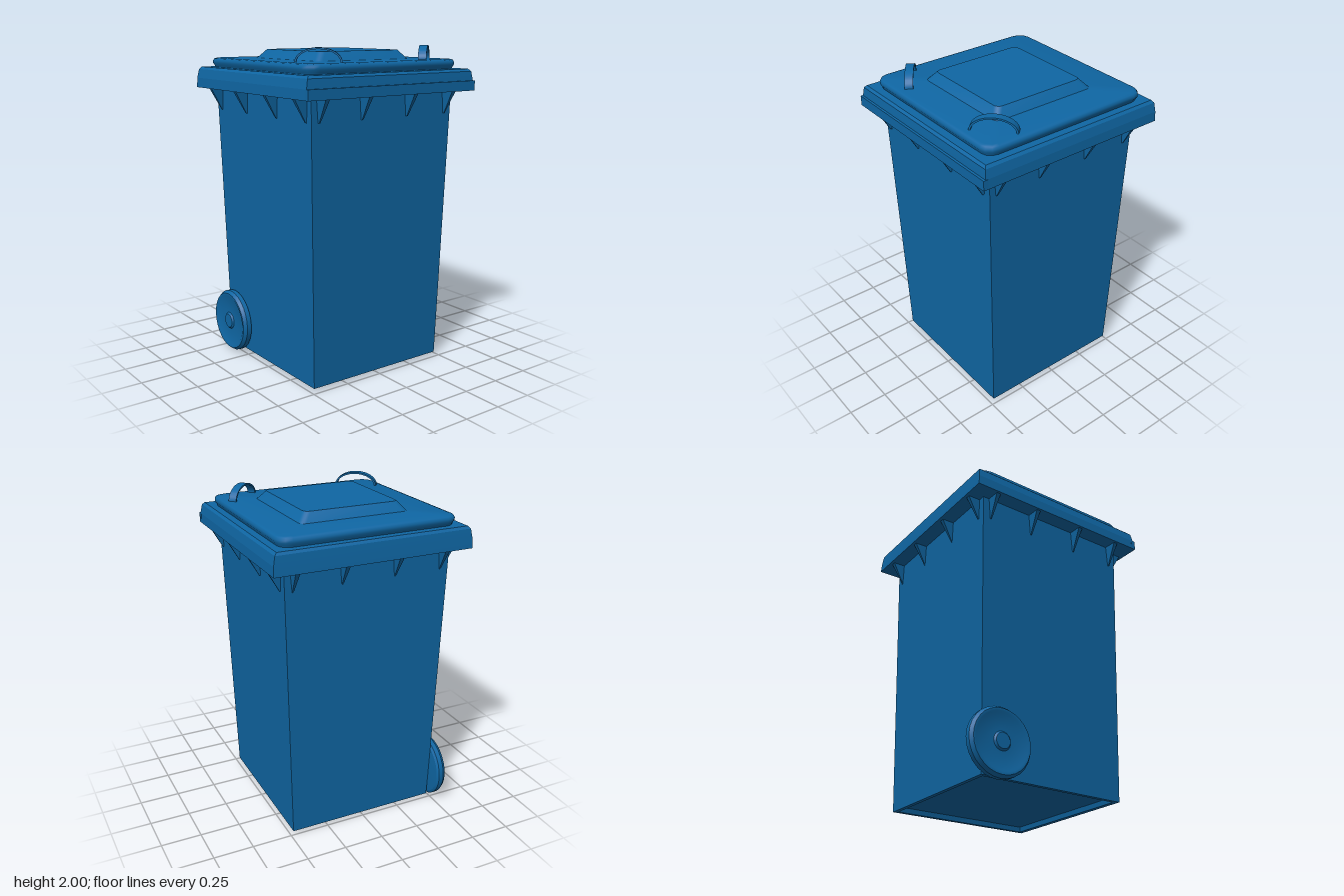
import * as THREE from 'three';
import { toCreasedNormals } from 'three/addons/utils/BufferGeometryUtils.js';
import { ConvexGeometry } from 'three/addons/geometries/ConvexGeometry.js';

// Skin through rounded rectangles; each ring is [y, half width, back z, front z, corner radius]
function loft(rings, cornerSteps, crease) {
  const loops = rings.map(([y, hx, z0, z1, r = 0]) => {
    const pts = [];
    for (let c = 0; c < 4; c++) {
      const sx = c === 0 || c === 3 ? 1 : -1, sz = c < 2 ? 1 : -1;
      for (let s = 0; s <= cornerSteps; s++) {
        const a = (c + (cornerSteps ? s / cornerSteps : 0.5)) * Math.PI / 2;
        pts.push([sx * (hx - r) + r * Math.cos(a), y, (sz > 0 ? z1 - r : z0 + r) + r * Math.sin(a)]);
      }
    }
    return pts;
  });
  const pos = [], n = loops[0].length;
  for (let k = 0; k + 1 < loops.length; k++) {
    for (let i = 0; i < n; i++) {
      const j = (i + 1) % n;
      const a = loops[k][i], b = loops[k][j], c = loops[k + 1][i], d = loops[k + 1][j];
      pos.push(...a, ...c, ...b, ...b, ...c, ...d);
    }
  }
  const g = new THREE.BufferGeometry();
  g.setAttribute('position', new THREE.Float32BufferAttribute(pos, 3));
  return toCreasedNormals(g, crease);
}

export function createModel() {
  const model = new THREE.Group();
  const blue = new THREE.MeshStandardMaterial({ color: 0x0f66a3 });
  const add = (name, geometry, parent = model) => {
    const mesh = new THREE.Mesh(geometry, blue);
    mesh.name = name;
    parent.add(mesh);
    return mesh;
  };

  // Tapered body with a recessed floor
  add('body', loft([
    [0.05, 0, 0, 0], [0.05, 0.45, -0.46, 0.44], [0.02, 0.455, -0.465, 0.445],
    [0.02, 0.48, -0.49, 0.475], [1.74, 0.522, -0.527, 0.518],
  ], 0, 0.3));

  // Collar around the top, with a lip along its front
  add('collar', loft([
    [1.73, 0, 0, 0], [1.73, 0.617, -0.622, 0.612], [1.79, 0.615, -0.618, 0.61],
    [1.845, 0.604, -0.612, 0.604], [1.86, 0.59, -0.6, 0.59], [1.86, 0, 0, 0],
  ], 0, 0.1));
  add('frontLip', new THREE.BoxGeometry(1.234, 0.06, 0.03)).position.set(0, 1.76, 0.61);

  // Lid with soft edges and a raised panel
  add('lid', loft([
    [1.85, 0.54, -0.55, 0.535, 0.06], [1.87, 0.547, -0.557, 0.542, 0.07],
    [1.885, 0.556, -0.566, 0.551, 0.075], [1.9, 0.556, -0.566, 0.551, 0.075],
    [1.913, 0.549, -0.559, 0.544, 0.07], [1.918, 0.532, -0.542, 0.527, 0.06],
    [1.918, 0, 0, 0],
  ], 3, 0.9));
  add('lidPanel', loft([
    [1.915, 0.346, -0.356, 0.337, 0.035], [1.972, 0.298, -0.306, 0.291, 0.035],
    [1.972, 0, 0, 0],
  ], 4, 0.6));

  // Arched strap handles on the front corners of the lid
  const arch = new THREE.Shape();
  arch.moveTo(0.135, -0.01);
  arch.absellipse(0, 0, 0.135, 0.085, 0, Math.PI, false);
  arch.lineTo(-0.135, -0.01);
  arch.lineTo(-0.123, -0.01);
  arch.absellipse(0, 0, 0.123, 0.075, Math.PI, 0, true);
  arch.lineTo(0.123, -0.01);
  const strap = new THREE.ExtrudeGeometry(arch, { depth: 0.05, bevelEnabled: false, curveSegments: 16 });
  strap.translate(0, 0, -0.025);
  const handleGeometry = toCreasedNormals(strap, 0.6);
  for (const [name, x, z, turn] of [
    ['rightHandle', -0.392, 0.405, -0.64], ['leftHandle', 0.405, 0.395, 0.75],
  ]) {
    const handle = add(name, handleGeometry);
    handle.position.set(x, 1.915, z);
    handle.rotation.y = turn;
  }

  // Wedge ribs under the collar, four on each side
  const rib = new ConvexGeometry([-1, 1].flatMap((s) => [
    new THREE.Vector3(s * 0.017, 1.735, 0.5), new THREE.Vector3(s * 0.014, 1.735, 0.605),
    new THREE.Vector3(s * 0.004, 1.59, 0.5), new THREE.Vector3(s * 0.004, 1.595, 0.525),
  ]));
  const ribs = new THREE.Group();
  ribs.name = 'collarRibs';
  model.add(ribs);
  for (let side = 0; side < 4; side++) {
    const row = new THREE.Group();
    row.name = 'ribRow';
    row.rotation.y = side * Math.PI / 2;
    for (const x of [-0.47, -0.17, 0.165, 0.465]) add('rib', rib, row).position.x = x;
    ribs.add(row);
  }

  // Wheel with a small hub, beside the rear right corner
  const profile = [
    [0, 0.48], [0.185, 0.49], [0.2, 0.5], [0.2, 0.53], [0.185, 0.551],
    [0.17, 0.551], [0.16, 0.546], [0.055, 0.546], [0.045, 0.557], [0, 0.557],
  ].map(([r, h]) => new THREE.Vector2(r, h));
  const wheel = add('wheel', toCreasedNormals(new THREE.LatheGeometry(profile, 28), 0.5));
  wheel.rotation.z = Math.PI / 2;
  wheel.position.set(0, 0.2, -0.403);

  return model;
}
